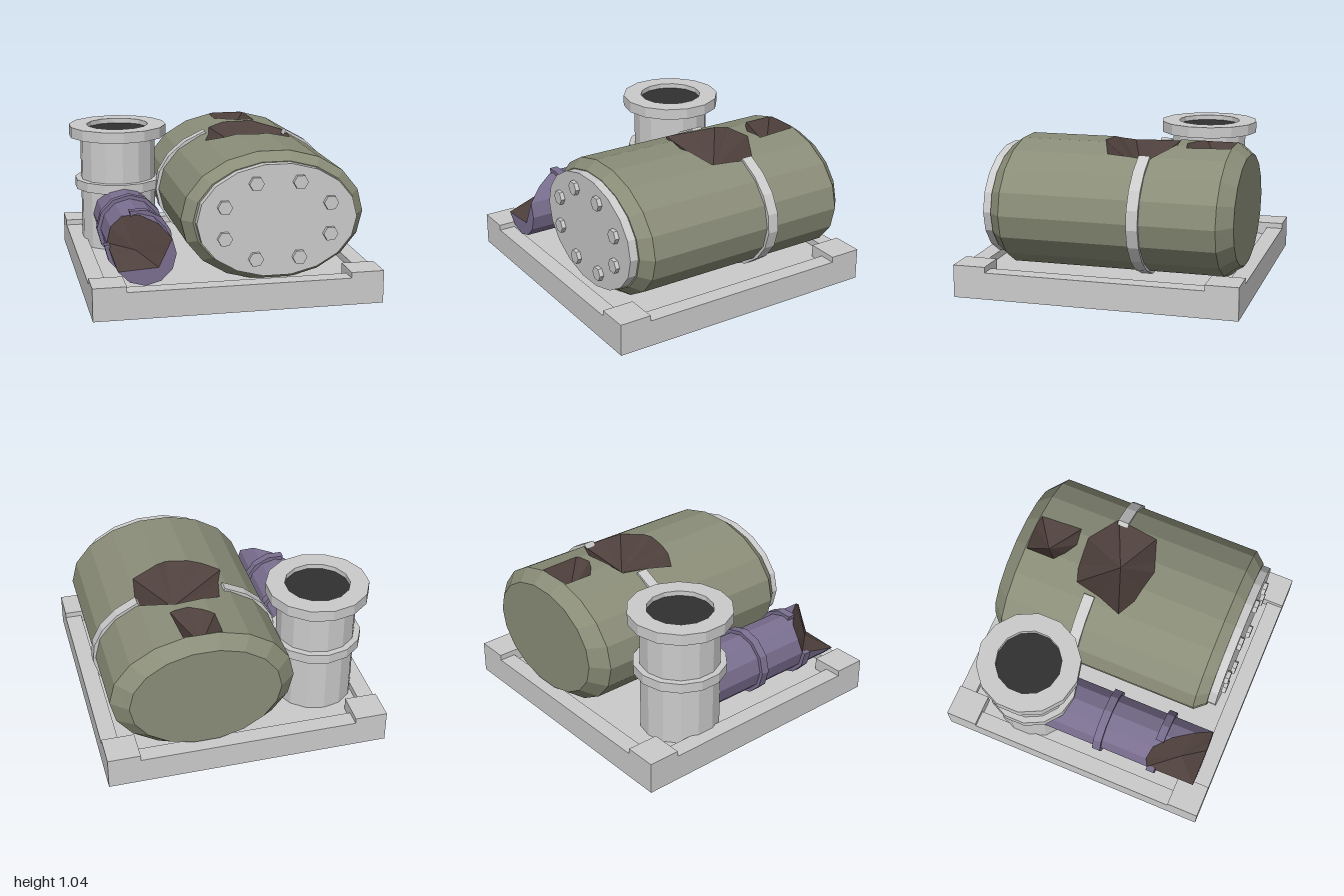
import * as THREE from 'three';

const V = (x, y, z) => new THREE.Vector3(x, y, z);
const material = (color) => new THREE.MeshStandardMaterial({ color, flatShading: true, side: THREE.DoubleSide });

export function createModel() {
  const model = new THREE.Group();
  const grey = material(0xcccccc), olive = material(0x8a8d78), purple = material(0x7a6f90);
  const torn = material(0x4e403c), dark = material(0x303032);

  function add(name, geometry, mat, x = 0, y = 0, z = 0) {
    const mesh = new THREE.Mesh(geometry, mat);
    mesh.name = name;
    mesh.position.set(x, y, z);
    model.add(mesh);
    return mesh;
  }
  // Flat geometry from a list of convex polygons, each a loop of points
  function faces(polygons) {
    const pos = [];
    for (const p of polygons)
      for (let i = 1; i < p.length - 1; i++)
        for (const v of [p[0], p[i], p[i + 1]]) pos.push(v.x, v.y, v.z);
    const g = new THREE.BufferGeometry();
    g.setAttribute('position', new THREE.Float32BufferAttribute(pos, 3));
    g.computeVertexNormals();
    return g;
  }
  const fan = (loop, tip) => loop.map((p, i) => [p, loop[(i + 1) % loop.length], tip]);
  const strip = (a, b, from = 0, count = a.length) => Array.from({ length: count }, (_, k) => {
    const i = (from + k) % a.length, j = (i + 1) % a.length;
    return [a[i], a[j], b[j], b[i]];
  });
  const oval = (n, cx, cy, rx, ry, z) => Array.from({ length: n }, (_, i) => {
    const a = (i / n) * Math.PI * 2;
    return V(cx + rx * Math.cos(a), cy + ry * Math.sin(a), z);
  });
  // Flat hoop around a pipe or tank, possibly open, angles in degrees
  function hoop(cx, cy, rx, ry, t, from, to, step, depth) {
    const outer = [], inner = [];
    for (let a = from; a <= to + 0.01; a += step) {
      const c = Math.cos(a * Math.PI / 180), s = Math.sin(a * Math.PI / 180);
      outer.push(new THREE.Vector2(cx + rx * c, cy + ry * s));
      inner.unshift(new THREE.Vector2(cx + (rx - t) * c, cy + (ry - t) * s));
    }
    return new THREE.ExtrudeGeometry(new THREE.Shape([...outer, ...inner]), { depth, bevelEnabled: false });
  }

  // Base tray with rim and raised corners
  add('baseFloor', new THREE.BoxGeometry(2, 0.14, 2), grey, 0, 0.07, 0);
  for (const s of [-1, 1]) {
    add('baseRimEnd', new THREE.BoxGeometry(1.54, 0.05, 0.12), grey, 0, 0.165, s * 0.94);
    add('baseRimSide', new THREE.BoxGeometry(0.12, 0.05, 1.54), grey, s * 0.94, 0.165, 0);
    for (const t of [-1, 1])
      add('baseCorner', new THREE.BoxGeometry(0.23, 0.09, 0.23), grey, s * 0.885, 0.185, t * 0.885);
  }

  // Tank: an 18-sided oval drum with tapered ends
  const CX = 0.29, CY = 0.58, RX = 0.645, RY = 0.46, Z0 = -0.82, Z1 = 0.69;
  const ring = (rx, ry, z) => oval(18, CX, CY, rx, ry, z);
  const back = ring(0.53, 0.385, -0.92), r0 = ring(RX, RY, Z0), r1 = ring(RX, RY, Z1), front = ring(0.575, 0.4, 0.77);
  const shell = [
    [...back].reverse(), ...strip(back, r0), ...strip(r0, r1, 7, 13), ...strip(r1, front), front,
  ];

  // Torn holes in the tank roof, as [x, z] outlines with a deepest point
  const holes = [
    { rim: [[0.15, -0.81], [0.34, -0.82], [0.42, -0.81], [0.44, -0.51], [0.31, -0.49], [0.22, -0.54], [0.15, -0.6]], tip: V(0.27, 0.86, -0.7) },
    { rim: [[0.02, -0.19], [0.06, -0.38], [0.15, -0.41], [0.39, -0.435], [0.635, -0.3], [0.59, 0.01], [0.33, 0.1], [0.08, 0.05], [-0.04, -0.02]], tip: V(0.35, 0.82, -0.17) },
  ];
  // Range of z that a hole covers at x
  function span(rim, x) {
    const zs = [], e = 1e-6;
    rim.forEach(([ax, az], i) => {
      const [bx, bz] = rim[(i + 1) % rim.length];
      if (Math.abs(ax - x) < e) zs.push(az);
      else if ((ax - x) * (bx - x) < 0) zs.push(az + (bz - az) * (x - ax) / (bx - ax));
    });
    return zs.length ? [Math.min(...zs), Math.max(...zs)] : null;
  }
  const ridge = r0.slice(2, 8).reverse();
  const roof = (x, z) => {
    let i = 0;
    while (i < ridge.length - 2 && x > ridge[i + 1].x) i++;
    const a = ridge[i], b = ridge[i + 1];
    return V(x, a.y + (b.y - a.y) * (x - a.x) / (b.x - a.x), z);
  };
  const xs = [...ridge.map((p) => p.x), ...holes.flatMap((h) => h.rim.map((p) => p[0]))]
    .sort((a, b) => a - b).filter((x, i, all) => i === 0 || x - all[i - 1] > 1e-5);

  // Roof in lengthwise columns, interrupted by the holes
  for (let i = 0; i < xs.length - 1; i++) {
    const a = xs[i], b = xs[i + 1];
    let za = Z0, zb = Z0;
    const piece = (ea, eb) => shell.push([roof(a, za), roof(a, ea), roof(b, eb), roof(b, zb)]);
    for (const { rim } of holes) {
      if (!span(rim, (a + b) / 2)) continue;
      const sa = span(rim, a), sb = span(rim, b);
      piece(sa[0], sb[0]);
      za = sa[1];
      zb = sb[1];
    }
    piece(Z1, Z1);
  }
  add('tankShell', faces(shell), olive);
  for (const { rim, tip } of holes) {
    const inside = xs.filter((x) => span(rim, x));
    const loop = [
      ...inside.map((x) => roof(x, span(rim, x)[1])),
      ...inside.map((x) => roof(x, span(rim, x)[0])).reverse(),
    ];
    add('tankTear', faces(fan(loop, tip)), torn);
  }

  // Band round the tank, broken by the large tear
  add('tankBand', hoop(CX, CY, RX + 0.02, RY + 0.015, 0.04, 116, 420, 16, 0.08), grey, 0, 0, -0.3);

  // Bolted end plate
  const p0 = ring(0.56, 0.395, 0.76), p1 = ring(0.56, 0.395, 0.83);
  add('endPlate', faces([...strip(p0, p1), p1]), grey);
  for (let i = 0; i < 8; i++) {
    const a = (i + 0.5) * Math.PI / 4;
    const bolt = add('plateBolt', new THREE.CylinderGeometry(0.052, 0.052, 0.04, 6), grey,
      CX + 0.4 * Math.cos(a), CY + 0.285 * Math.sin(a), 0.84);
    bolt.rotation.set(Math.PI / 2, Math.PI / 6, 0);
  }

  // Upright pipe with collar, flange and dark bore
  const profile = [[0.28, 0.13], [0.28, 0.575], [0.325, 0.575], [0.325, 0.645], [0.28, 0.645], [0.28, 0.965],
    [0.363, 0.965], [0.363, 1.045], [0.23, 1.045], [0.23, 1.0]].map(([x, y]) => new THREE.Vector2(x, y));
  add('uprightPipe', new THREE.LatheGeometry(profile, 14), grey, -0.63, 0, -0.44);
  const bore = add('pipeBore', new THREE.CircleGeometry(0.235, 14), dark, -0.63, 1.01, -0.44);
  bore.rotation.x = -Math.PI / 2;

  // Side pipe, its far end torn open on the upper outer side
  const PX = -0.63, PY = 0.405, END = 0.89;
  const start = oval(12, PX, PY, 0.212, 0.212, -0.3), end = oval(12, PX, PY, 0.212, 0.212, END);
  [0.78, 0.64, 0.54, 0.52, 0.54].forEach((z, i) => { end[i + 2].z = z; });
  const edge = [V(-0.49, 0.4, END), V(-0.54, 0.315, END)];
  const cap = [edge[1], ...end.slice(7), end[0], end[1], edge[0]];
  add('sidePipe', faces([...strip(start, end), cap]), purple);
  add('sidePipeTear', faces(fan([...end.slice(1, 8), edge[1], edge[0]], V(-0.67, 0.4, 0.74))), torn);
  add('sidePipeCollar', hoop(PX, PY, 0.238, 0.238, 0.05, 0, 360, 30, 0.06), purple, 0, 0, 0.12);
  add('brokenPipeCollar', hoop(PX, PY, 0.238, 0.238, 0.04, 180, 465, 28.5, 0.06), purple, 0, 0, 0.54);

  return model;
}
